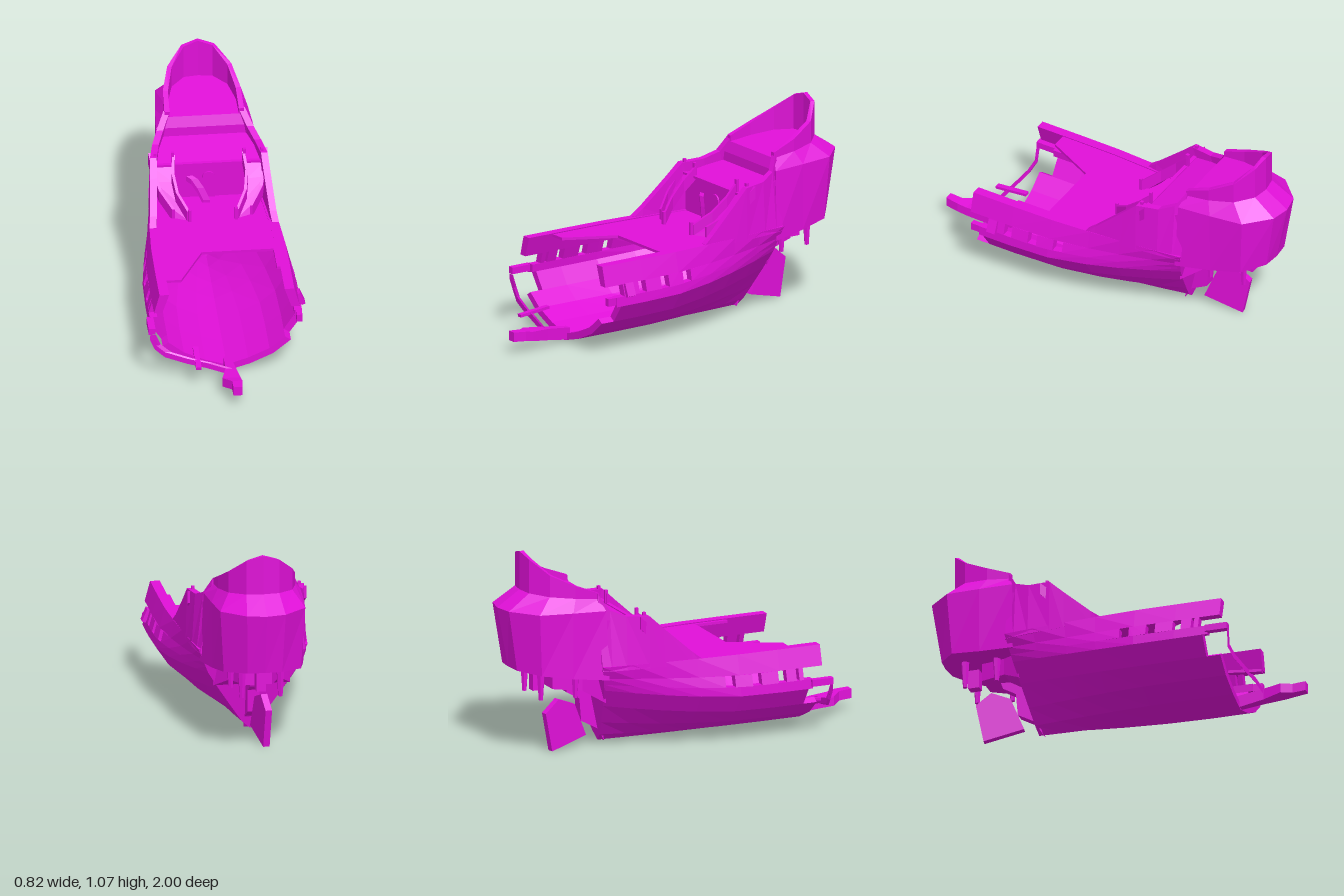
import * as THREE from 'three';

const paint = new THREE.MeshStandardMaterial({ color: 0xe010d8, flatShading: true, side: THREE.DoubleSide });
paint.name = 'magenta';

// Solid through rings of equal length; end caps join point i to its opposite in the ring
function loft(rings) {
  const m = rings[0].length, pos = [];
  const quad = (a, b, c, d) => pos.push(...a, ...b, ...c, ...a, ...c, ...d);
  for (let r = 0; r < rings.length - 1; r++)
    for (let i = 0; i < m; i++) {
      const j = (i + 1) % m;
      quad(rings[r][i], rings[r][j], rings[r + 1][j], rings[r + 1][i]);
    }
  const a = rings[0], b = rings[rings.length - 1];
  for (let i = 0; i < m / 2 - 1; i++) {
    quad(a[m - 1 - i], a[m - 2 - i], a[i + 1], a[i]);
    quad(b[i], b[i + 1], b[m - 2 - i], b[m - 1 - i]);
  }
  // turn the faces outward if the signed volume is negative
  let vol = 0;
  const v = k => new THREE.Vector3().fromArray(pos, k);
  for (let k = 0; k < pos.length; k += 9) vol += v(k).dot(v(k + 3).cross(v(k + 6)));
  if (vol < 0)
    for (let k = 0; k < pos.length; k += 9)
      for (let c = 0; c < 3; c++) [pos[k + 3 + c], pos[k + 6 + c]] = [pos[k + 6 + c], pos[k + 3 + c]];
  const g = new THREE.BufferGeometry();
  g.setAttribute('position', new THREE.Float32BufferAttribute(pos, 3));
  g.computeVertexNormals();
  return g;
}

// Hull half sections at bow and stern, with the inward step to the inner skin
const BOW = [[0, .01], [.12, .045], [.24, .1], [.33, .175], [.395, .27], [.392, .32], [.375, .38], [.347, .485]];
const STERN = [[0, .02], [.04, .06], [.09, .14], [.16, .25], [.22, .35], [.235, .385], [.25, .42], [.28, .485]];
const SKIN = [[0, .035], [-.01, .035], [-.02, .03], [-.03, .02], [-.04, .01], [-.04, 0], [-.043, 0], [-.05, 0]];
function hullPoint(i, s, inner) {
  const t = Math.pow(Math.max(0, (.3 - s) / .75), 1.6);
  let x = THREE.MathUtils.lerp(BOW[i][0], STERN[i][0], t);
  let y = THREE.MathUtils.lerp(BOW[i][1], STERN[i][1], t);
  const z = s - t * .09 * y / .42;
  if (inner) { x = Math.max(0, x + SKIN[i][0]); y += SKIN[i][1]; }
  return [x, y, z];
}
const STATIONS = [.42, .2, 0, -.15, -.3, -.43];

export function createModel() {
  const model = new THREE.Group();
  const add = (name, geo) => {
    const mesh = new THREE.Mesh(geo, paint);
    mesh.name = name;
    model.add(mesh);
    return mesh;
  };
  const box = (name, w, h, d, x, y, z, rx = 0, ry = 0, rz = 0) => {
    const b = add(name, new THREE.BoxGeometry(w, h, d));
    b.position.set(x, y, z);
    b.rotation.set(rx, ry, rz);
    return b;
  };
  const flip = (ring, s) => ring.map(([x, y, z]) => [x * s, y, z]);
  // square beam along points, w wide and h tall
  const beam = (name, pts, w, h) => add(name, loft(pts.map(([x, y, z]) =>
    [[x - w / 2, y, z], [x + w / 2, y, z], [x + w / 2, y + h, z], [x - w / 2, y + h, z]])));
  // plate drawn in (z, y), centred on x
  const sidePlate = (name, pts, thick) => {
    const shape = new THREE.Shape(pts.map(([z, y]) => new THREE.Vector2(-z, y)));
    const g = new THREE.ExtrudeGeometry(shape, { depth: thick, bevelEnabled: false });
    g.translate(0, 0, -thick / 2);
    g.rotateY(Math.PI / 2);
    return add(name, g);
  };

  for (const s of [1, -1]) {
    const side = s > 0 ? 'left' : 'right';
    // strakes of the hull: first point, last point, front end, back end
    const strake = (name, i0, i1, front, back = -.43) => {
      const zs = [front, ...STATIONS.filter(z => z < front && z > back), back];
      add(side + name, loft(zs.map(z => {
        const ring = [];
        for (let i = i0; i <= i1; i++) ring.push(hullPoint(i, z, false));
        for (let i = i1; i >= i0; i--) ring.push(hullPoint(i, z, true));
        return flip(ring, s);
      })));
    };
    strake('HullBottom', 0, 3, .65);
    strake('HullBilge', 3, 4, .575);
    strake('HullWale', 4, 5, .6);
    strake('HullRail', 6, 7, .66);
    // band with gun ports left open
    for (const [a, b] of [[.55, .525], [.51, .455], [.41, .315], [.265, .175], [.125, -.43]])
      strake('PortBand', 5, 6, a, b);

    // raised bulwark: z, top, x at the bottom, x at the top
    const wall = [[0, .486, .333, .333], [-.05, .525, .328, .325], [-.2, .66, .318, .31], [-.28, .735, .31, .303],
      [-.4, .742, .297, .28], [-.48, .775, .285, .25], [-.53, .86, .272, .21]];
    add(side + 'Bulwark', loft(wall.map(([z, t, xb, xt]) =>
      flip([[xb, .46, z], [xt, t, z], [xt - .035, t, z], [xb - .04, .46, z]], s))));

    // curved stair with two rails
    const stair = [[.18, .30, .68, -.3], [.19, .285, .615, -.23], [.175, .26, .545, -.15], [.125, .2, .48, -.065]];
    add(side + 'Stair', loft(stair.map(([a, b, y, z], k) => flip(
      [[a, y - .02, z], [b, y - .02, z - k * .012], [b, y, z - k * .012], [a, y, z]], s))));
    for (const e of [0, 1])
      beam(side + 'StairRail', stair.map(p => [s * p[e], p[2] - .01, p[3] - (e ? .03 : 0)]), .015, .065);
    for (const [x, y, z] of [[.185, .715, -.3], [.275, .715, -.3], [.12, .51, -.06]])
      box(side + 'Newel', .016, .075, .016, s * x, y, z);

    // pegs under the stern
    for (const [x, z] of [[.13, -.62], [.1, -.8]]) {
      const peg = add(side + 'SternPeg', new THREE.CylinderGeometry(.022, .012, .14, 6));
      peg.position.set(s * x, .37, z);
    }
  }

  // transom closing the hull
  const transom = dz => {
    const half = BOW.map((_, i) => hullPoint(i, -.43, false));
    return [...half.slice().reverse(), ...flip(half.slice(1), -1)].map(([x, y, z]) => [x, y, z + dz]);
  };
  add('transom', loft([transom(0), transom(.03)]));
  box('mastFoot', .05, .24, .03, 0, .35, -.43);

  // broken main deck
  const deckShape = new THREE.Shape([[-.315, .51], [-.22, .51], [-.09, .25], [.28, .25], [.28, .43], [.315, .43],
    [.305, 0], [.27, -.31], [-.27, -.31], [-.305, 0]].map(([x, z]) => new THREE.Vector2(x, -z)));
  const deckGeo = new THREE.ExtrudeGeometry(deckShape, { depth: .014, bevelEnabled: false });
  deckGeo.rotateX(-Math.PI / 2);
  add('mainDeck', deckGeo).position.y = .466;

  // quarterdeck with its bulkhead
  add('quarterdeck', loft([[-.3, .68, .285], [-.51, .73, .25]].map(([z, y, x]) =>
    [[-x, .46, z], [x, .46, z], [x, y, z], [-x, y, z]])));
  box('deckEdge', .56, .012, .02, 0, .68, -.295);

  // arched door and fallen post
  const arch = new THREE.Shape();
  arch.moveTo(-.033, 0);
  arch.lineTo(.033, 0);
  arch.lineTo(.033, .115);
  arch.absarc(0, .115, .033, 0, Math.PI, false);
  add('archedDoor', new THREE.ExtrudeGeometry(arch, { depth: .009, bevelEnabled: false, curveSegments: 6 }))
    .position.set(0, .48, -.3);
  beam('fallenPost', [[-.015, .465, -.235], [-.045, .53, -.25], [-.075, .575, -.265], [-.1, .585, -.285]], .035, .03);

  // stern castle: bottom, widest and top outlines
  const mirror = half => [...half, ...flip(half.slice(0, -1).reverse(), -1)];
  const topRing = [[.205, .83, -.52], [.2, .845, -.65], [.165, .86, -.78], [.085, .87, -.86], [0, .872, -.875]];
  add('sternCastle', loft([
    [[.27, .41, -.49], [.235, .43, -.68], [.2, .455, -.84], [.09, .468, -.93], [0, .47, -.94]],
    [[.25, .775, -.5], [.238, .78, -.68], [.22, .785, -.86], [.1, .79, -.98], [0, .79, -1]],
    topRing,
  ].map(mirror)));

  // high rim around the stern deck
  const rimTop = [.86, .91, .975, 1.05, 1.075];
  const rim = topRing.map(([x, y, z], i) => {
    const xi = x * .87, zi = z + .006 * i;
    return [[x, y - .02, z], [x, rimTop[i], z], [xi, rimTop[i], zi], [xi, y - .02, zi]];
  });
  add('sternRim', loft([...rim, ...rim.slice(0, -1).reverse().map(r => flip(r, -1))]));

  // skeg, bracket and loose rudder
  sidePlate('skeg', [[-.41, .02], [-.45, .09], [-.54, .14], [-.55, .26], [-.62, .3], [-.66, .43], [-.48, .43]], .06);
  add('sternBracket', loft([[-.48, .2, .27], [-.58, .13, .33], [-.72, .07, .34]].map(([z, x, y]) =>
    [[-x, y, z], [x, y, z], [x, .44, z], [-x, .44, z]])));
  box('rudderHinge', .05, .1, .06, 0, .38, -.78);
  const rudder = sidePlate('rudder', [[.12, -.09], [-.09, -.145], [-.13, .06], [-.05, .125], [.05, .085]], .035);
  rudder.position.set(-.025, .15, -.63);
  rudder.rotation.y = .17;

  // broken keel beam reaching forward
  add('keelBeam', loft([[.63, -.015, .02, .015, .08], [.78, -.02, .035, .04, .1], [.88, -.045, .048, .055, .105],
    [.93, 0, .053, .065, .115], [1, 0, .045, .07, .12]].map(([z, a, b, lo, hi]) =>
    [[a, lo, z], [b, lo, z], [b, hi, z], [a, hi, z]])));

  // loose rib and planks at the bow
  beam('bowRib', [[-.385, .25, .71], [-.36, .19, .705], [-.31, .15, .72], [-.2, .12, .745], [-.1, .1, .765], [0, .07, .78]], .03, .03);
  box('loosePlank', .028, .015, .18, -.16, .14, .73, .1);
  box('rightBowStub', .035, .035, .12, -.39, .3, .65);
  box('leftBowStub', .03, .04, .1, .375, .3, .6);
  box('hangingPlank', .02, .07, .05, .392, .35, .52, 0, 0, .4);
  return model;
}
